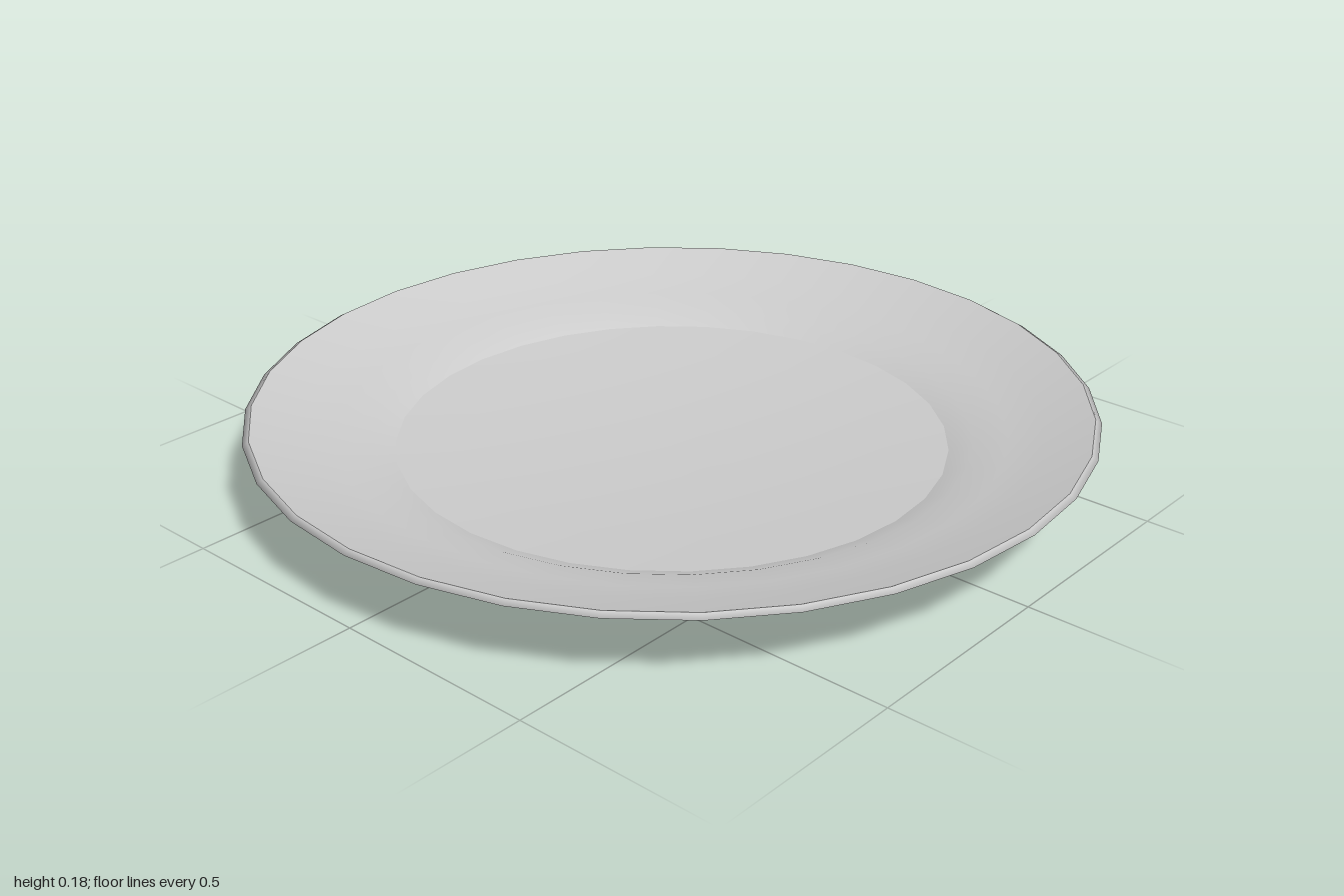
import * as THREE from 'three';

const SIDES = 32;

// Each strip is smooth in itself; strips meet in sharp edges.
// Points run from the underside, around the rim, to the middle of the top.
const dish = (r) => 0.048 + 0.032 * (r / 0.655) ** 2;
const strips = {
  base: [[0, 0.018], [0.595, 0.018]],
  footInner: [[0.595, 0.018], [0.622, 0]],
  footBottom: [[0.622, 0], [0.637, 0]],
  underside: [[0.637, 0], [0.655, 0.04], [0.668, 0.06], [0.695, 0.075], [0.86, 0.108], [0.985, 0.163]],
  rimEdge: [[0.985, 0.163], [1, 0.172], [0.985, 0.181]],
  wall: [[0.985, 0.181], [0.87, 0.143], [0.79, 0.122], [0.71, 0.104], [0.655, 0.08]],
  floor: [0.655, 0.5, 0.34, 0.17, 0].map((r) => [r, dish(r)]),
};

export function createModel() {
  const plate = new THREE.Group();
  plate.name = 'plate';
  const material = new THREE.MeshStandardMaterial({ color: 0xcccccc });
  for (const [name, points] of Object.entries(strips)) {
    const profile = points.map(([r, y]) => new THREE.Vector2(r, y));
    const mesh = new THREE.Mesh(new THREE.LatheGeometry(profile, SIDES), material);
    mesh.name = name;
    plate.add(mesh);
  }
  return plate;
}
